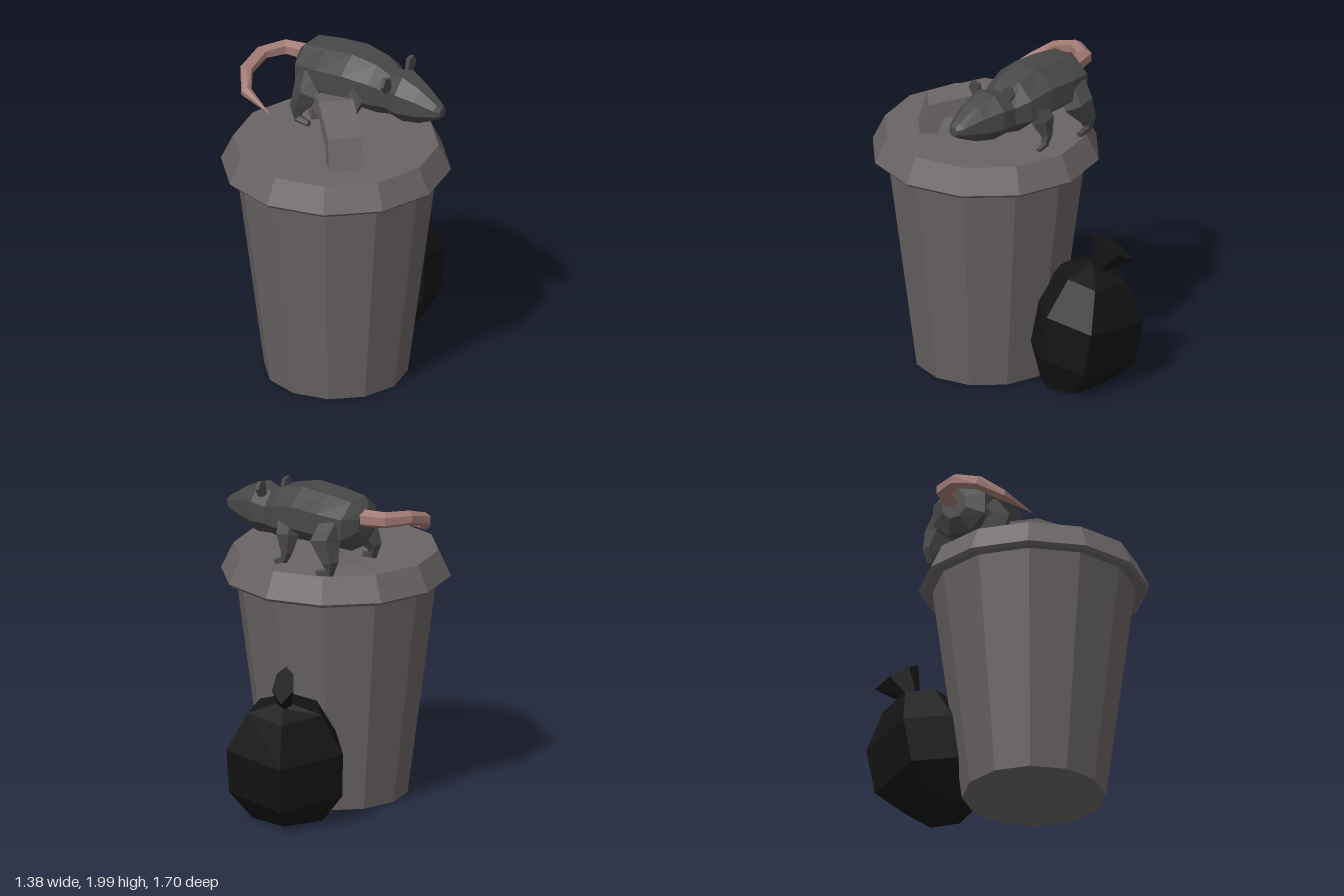
import * as THREE from 'three';

const V = (x, y, z) => new THREE.Vector3(x, y, z);
const paint = (color) => new THREE.MeshStandardMaterial({ color, flatShading: true, side: THREE.DoubleSide });
const mats = {
  can: paint(0x6a6464), fur: paint(0x484848), tail: paint(0xa07872), bag: paint(0x141414),
};

function part(name, geometry, material, parent) {
  const mesh = new THREE.Mesh(geometry, material);
  mesh.name = name;
  parent.add(mesh);
  return mesh;
}

// Skin over equal-sized rings of points, capped at both ends, wound outward
function loft(rings) {
  const n = rings[0].length;
  const tris = [];
  for (let i = 0; i + 1 < rings.length; i++) {
    for (let j = 0; j < n; j++) {
      const k = (j + 1) % n;
      const [a, b, c, d] = [rings[i][j], rings[i][k], rings[i + 1][k], rings[i + 1][j]];
      tris.push([a, b, c], [a, c, d]);
    }
  }
  const first = rings[0], last = rings[rings.length - 1];
  for (let j = 1; j + 1 < n; j++) {
    tris.push([first[0], first[j + 1], first[j]], [last[0], last[j], last[j + 1]]);
  }
  const volume = tris.reduce((s, [a, b, c]) => s + a.dot(b.clone().cross(c)), 0);
  if (volume < 0) tris.forEach((t) => t.reverse());
  const geometry = new THREE.BufferGeometry().setFromPoints(tris.flat());
  geometry.computeVertexNormals();
  return geometry;
}

// Tapered limb: each entry is [x, y, z, radius]
function limb(points, sides) {
  const p = points.map((q) => V(q[0], q[1], q[2]));
  return loft(p.map((c, i) => {
    const dir = p[Math.min(i + 1, p.length - 1)].clone().sub(p[Math.max(i - 1, 0)]).normalize();
    const ref = Math.abs(dir.y) > 0.8 ? V(1, 0, 0) : V(0, 1, 0);
    const a = ref.cross(dir).normalize();
    const b = dir.clone().cross(a);
    return Array.from({ length: sides }, (_, j) => {
      const t = ((j + 0.5) / sides) * Math.PI * 2;
      return c.clone().addScaledVector(a, Math.cos(t) * points[i][3]).addScaledVector(b, Math.sin(t) * points[i][3]);
    });
  }));
}

function buildCan(root) {
  const can = new THREE.Group();
  can.name = 'trashCan';
  can.position.z = 0.16;
  root.add(can);
  part('canBody', new THREE.CylinderGeometry(0.605, 0.43, 1.35, 12), mats.can, can).position.y = 0.685;
  const lid = [[0.6, 1.36], [0.67, 1.35], [0.69, 1.37], [0.615, 1.525], [0, 1.525]];
  part('lid', new THREE.LatheGeometry(lid.map((q) => new THREE.Vector2(...q)), 12), mats.can, can);

  // Bent strap handle
  const outer = [[0.4, 1.52], [0.345, 1.71], [0, 1.787], [-0.345, 1.71], [-0.4, 1.52]];
  const inner = [[-0.29, 1.52], [-0.255, 1.62], [0, 1.685], [0.255, 1.62], [0.29, 1.52]];
  const strap = new THREE.Shape([...outer, ...inner].map((q) => new THREE.Vector2(...q)));
  const geometry = new THREE.ExtrudeGeometry(strap, { depth: 0.21, bevelEnabled: false });
  geometry.translate(0, 0, -0.105);
  part('lidHandle', geometry, mats.can, can).rotation.y = -Math.PI / 2 + 0.27;
}

function buildBag(root) {
  const bag = new THREE.Group();
  bag.name = 'trashBag';
  root.add(bag);
  // Plan outline: [x fraction, position from back 0 to front 1]
  const plan = [[0, 0], [1, 0.36], [0.77, 0.8], [0, 1], [-0.77, 0.8], [-1, 0.36]];
  // Tilted ring: half width, back z, front z, back y, front y
  const ring = ([hw, zb, zf, yb, yf]) => plan.map(([fx, t]) =>
    V(0.21 + fx * hw, yb + (yf - yb) * t, zb + (zf - zb) * t));
  part('sack', loft([
    [0.21, -0.62, -0.22, 0.01, 0.015],
    [0.34, -0.8, -0.14, 0.15, 0.28],
    [0.35, -0.85, -0.19, 0.43, 0.55],
    [0.22, -0.75, -0.35, 0.68, 0.76],
    [0.045, -0.63, -0.53, 0.75, 0.8],
  ].map(ring)), mats.bag, bag);
  part('gatheredTop', loft([
    [0.04, -0.63, -0.53, 0.74, 0.79],
    [0.065, -0.8, -0.54, 0.83, 0.985],
  ].map(ring)), mats.bag, bag);
}

function buildRat(root) {
  const rat = new THREE.Group();
  rat.name = 'rat';
  rat.position.z = -0.175;
  rat.rotation.y = -0.49;
  root.add(rat);

  // Body and head sections: along, sideways, top, bottom, half width
  const sections = [
    [-0.275, 0, 1.91, 1.74, 0.08],
    [-0.217, 0, 1.965, 1.66, 0.18],
    [-0.056, 0, 1.985, 1.67, 0.21],
    [0.13, 0, 2.0, 1.67, 0.205],
    [0.29, -0.01, 1.965, 1.65, 0.17],
    [0.38, -0.005, 1.915, 1.66, 0.125],
    [0.48, 0.01, 1.94, 1.65, 0.14],
    [0.6, 0.025, 1.895, 1.67, 0.1],
    [0.72, 0.036, 1.82, 1.72, 0.055],
    [0.75, 0.037, 1.795, 1.74, 0.03],
  ];
  const k = 1 / Math.cos(Math.PI / 8);
  part('bodyAndHead', loft(sections.map(([u, w, top, bottom, hw]) =>
    Array.from({ length: 8 }, (_, j) => {
      const t = ((j + 0.5) / 8) * Math.PI * 2;
      return V(u, (top + bottom) / 2 + Math.sin(t) * k * (top - bottom) / 2, w + Math.cos(t) * k * hw);
    }))), mats.fur, rat);

  for (const [s, side] of [[1, 'right'], [-1, 'left']]) {
    part(side + 'HindLeg', limb([
      [-0.13, 1.82, s * 0.13, 0.09], [-0.11, 1.72, s * 0.2, 0.095],
      [-0.17, 1.61, s * 0.225, 0.05], [-0.165, 1.55, s * 0.225, 0.028], [-0.08, 1.538, s * 0.235, 0.02],
    ], 5), mats.fur, rat);
    part(side + 'FrontLeg', limb([
      [0.2, 1.8, s * 0.12, 0.075], [0.18, 1.71, s * 0.175, 0.07],
      [0.17, 1.61, s * 0.195, 0.035], [0.19, 1.56, s * 0.195, 0.025], [0.25, 1.543, s * 0.2, 0.016],
    ], 5), mats.fur, rat);
    // Thin upright ear
    const outline = [[-0.025, 0], [0.03, 0], [0.065, 0.05], [0.04, 0.095], [-0.01, 0.085]];
    const ear = new THREE.Shape(outline.map(([x, y]) => new THREE.Vector2(x * s, y)));
    const mesh = part(side + 'Ear', new THREE.ExtrudeGeometry(ear, { depth: 0.025, bevelEnabled: false }), mats.fur, rat);
    mesh.position.set(0.43, s > 0 ? 1.855 : 1.895, 0.02 + s * 0.11);
    mesh.rotation.y = -Math.PI / 2;
  }

  part('tail', limb([
    [-0.2, 1.86, -0.31, 0.055], [-0.36, 1.865, -0.36, 0.05], [-0.49, 1.86, -0.28, 0.045],
    [-0.57, 1.81, -0.14, 0.042], [-0.555, 1.735, 0, 0.035], [-0.4, 1.685, 0.17, 0.002],
  ], 6), mats.tail, root);
}

export function createModel() {
  const root = new THREE.Group();
  root.name = 'ratOnTrashCan';
  buildCan(root);
  buildBag(root);
  buildRat(root);
  return root;
}
